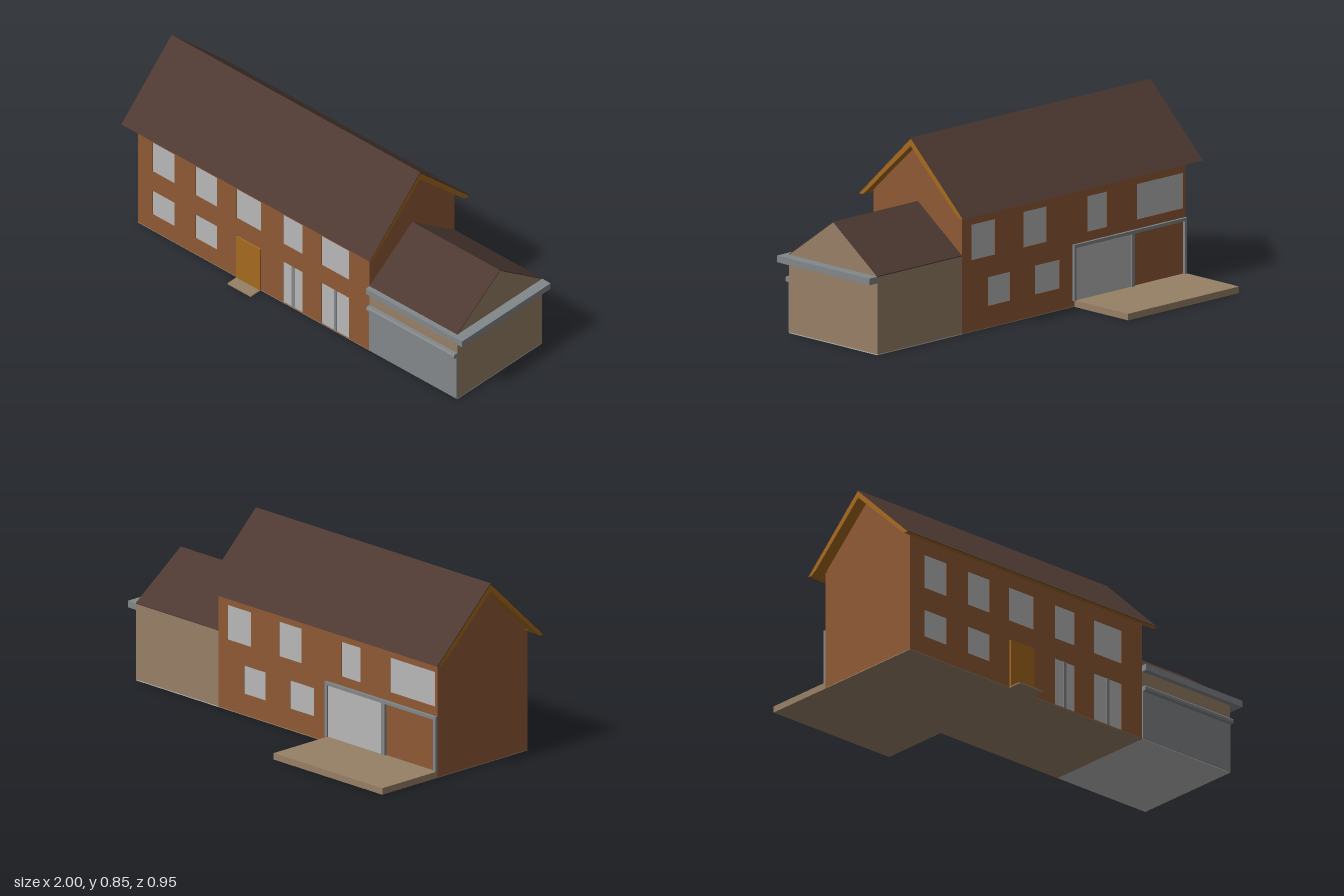
import * as THREE from 'three';

export function createModel() {
  const house = new THREE.Group();
  house.name = 'house';

  const paint = (name, color) => {
    const m = new THREE.MeshStandardMaterial({ color });
    m.name = name;
    return m;
  };
  const brick = paint('brick', 0x8f5935);
  const tile = paint('roofTile', 0x4d3931);
  const wood = paint('orangeWood', 0xa5691f);
  const render = paint('tanRender', 0x978066);
  const metal = paint('greyMetal', 0x82878a);
  const glass = paint('paleGlass', 0xb8b8b8);

  const add = (name, geometry, material, parent = house) => {
    const mesh = new THREE.Mesh(geometry, material);
    mesh.name = name;
    parent.add(mesh);
    return mesh;
  };
  const group = (name) => {
    const g = new THREE.Group();
    g.name = name;
    house.add(g);
    return g;
  };
  // Box given by its limits on each axis
  const box = (name, [x0, x1], [y0, y1], [z0, z1], material, parent) => {
    const g = new THREE.BoxGeometry(x1 - x0, y1 - y0, z1 - z0);
    g.translate((x0 + x1) / 2, (y0 + y1) / 2, (z0 + z1) / 2);
    return add(name, g, material, parent);
  };
  // Profile of [z, y] points swept along x
  const sweep = (name, points, [x0, x1], material, parent) => {
    const shape = new THREE.Shape(points.map(([z, y]) => new THREE.Vector2(-z, y)));
    const g = new THREE.ExtrudeGeometry(shape, { depth: x1 - x0, bevelEnabled: false });
    g.rotateY(Math.PI / 2).translate(x0, 0, 0);
    return add(name, g, material, parent);
  };

  const X = [-0.945, 0.43];
  const GX = [0.43, 0.95];
  const FRONT = 0.41, BACK = -0.14, MID = 0.134, REVEAL = 0.012;

  // Main house: floor and gabled core
  const main = group('mainHouse');
  box('houseFloor', X, [0, 0.004], [BACK, FRONT], render, main);
  sweep('gabledCore', [
    [FRONT - REVEAL, 0.004], [FRONT - REVEAL, 0.567], [MID, 0.812],
    [BACK + REVEAL, 0.567], [BACK + REVEAL, 0.004],
  ], X, brick, main);

  // Facades with recessed openings, each [x0, x1, y0, y1]
  const facade = (name, z, openings) => {
    const shape = new THREE.Shape();
    shape.moveTo(X[0], 0.002).lineTo(X[1], 0.002).lineTo(X[1], 0.557).lineTo(X[0], 0.557).closePath();
    for (const [x0, x1, y0, y1] of openings) {
      const hole = new THREE.Path();
      hole.moveTo(x0, y0).lineTo(x0, y1).lineTo(x1, y1).lineTo(x1, y0).closePath();
      shape.holes.push(hole);
    }
    const g = new THREE.ExtrudeGeometry(shape, { depth: REVEAL, bevelEnabled: false });
    g.translate(0, 0, z);
    add(name, g, brick, main);
    openings.forEach(([x0, x1, y0, y1]) =>
      box('windowPane', [x0, x1], [y0, y1], [z + 0.003, z + 0.009], glass, main));
  };
  const UP = [0.325, 0.485], LOW = [0.09, 0.22], TALL = [0.005, 0.228];
  facade('frontWall', FRONT - REVEAL, [
    [-0.86, -0.728, ...UP], [-0.603, -0.475, ...UP], [-0.36, -0.215, ...UP],
    [-0.085, 0.03, ...UP], [0.145, 0.308, ...UP],
    [-0.86, -0.728, ...LOW], [-0.603, -0.475, ...LOW],
    [-0.085, 0.03, ...TALL], [0.145, 0.308, ...TALL],
  ]);
  facade('backWall', BACK, [
    [0.225, 0.372, ...UP], [-0.09, 0.05, ...UP], [-0.462, -0.342, ...UP], [-0.93, -0.648, ...UP],
    [0.135, 0.27, 0.1, 0.23], [-0.17, -0.02, 0.1, 0.23],
  ]);
  for (const x of [-0.026, 0.227])
    box('frenchWindowMullion', [x - 0.007, x + 0.007], TALL, [0.405, 0.411], metal, main);

  // Front door and step
  box('frontDoor', [-0.355, -0.215], [0.004, 0.23], [FRONT, 0.418], wood);
  box('doorStep', [-0.355, -0.215], [0, 0.006], [FRONT, 0.475], render);

  // Patio door with frame, and terrace
  const patio = group('patioDoor');
  const PZ = [-0.152, BACK];
  box('frameTop', [-0.945, -0.25], [0.268, 0.283], PZ, metal, patio);
  for (const [x0, x1] of [[-0.945, -0.93], [-0.625, -0.605], [-0.265, -0.25]])
    box('framePost', [x0, x1], [0.03, 0.268], PZ, metal, patio);
  box('slidingPane', [-0.605, -0.265], [0.03, 0.268], [-0.146, BACK], glass, patio);
  box('terrace', [-0.945, -0.262], [0, 0.03], [-0.475, BACK], render);

  // Main roof: timber slab with a thin tile skin on each slope
  const roof = group('mainRoof');
  const RX = [-1, 0.475], RM = 0.132;
  sweep('roofTimber', [
    [RM, 0.843], [0.454, 0.538], [0.432, 0.538], [FRONT, 0.556], [MID, 0.81],
    [BACK, 0.556], [-0.168, 0.538], [-0.19, 0.538],
  ], RX, wood, roof);
  for (const s of [1, -1])
    sweep('roofTiles', [
      [RM, 0.848], [RM + s * 0.326, 0.538], [RM + s * 0.321, 0.538], [RM, 0.843],
    ], RX, tile, roof);

  // Garage body, floor and roof
  const garage = group('garage');
  box('garageFloor', GX, [0, 0.004], [BACK, FRONT], glass, garage);
  sweep('garageBody', [
    [FRONT, 0.004], [FRONT, 0.353], [MID + 0.001, 0.55], [BACK, 0.353], [BACK, 0.004],
  ], GX, render, garage);
  for (const end of [FRONT, BACK])
    sweep('garageRoofTiles', [[MID, 0.554], [end, 0.357], [end, 0.353], [MID, 0.55]], GX, tile, garage);

  // Garage door, its rounded canopy, and the eaves band on front and end
  box('garageDoor', GX, [0.004, 0.23], [FRONT, 0.414], metal, garage);
  sweep('doorCanopy', [
    [FRONT, 0.23], [0.428, 0.23], [0.433, 0.235], [0.433, 0.247], [0.428, 0.253], [FRONT, 0.253],
  ], GX, metal, garage);
  box('frontEavesBand', [0.43, 1], [0.325, 0.355], [FRONT, 0.435], metal, garage);
  box('endEavesBand', [0.95, 1], [0.325, 0.355], [BACK, FRONT], metal, garage);

  return house;
}
